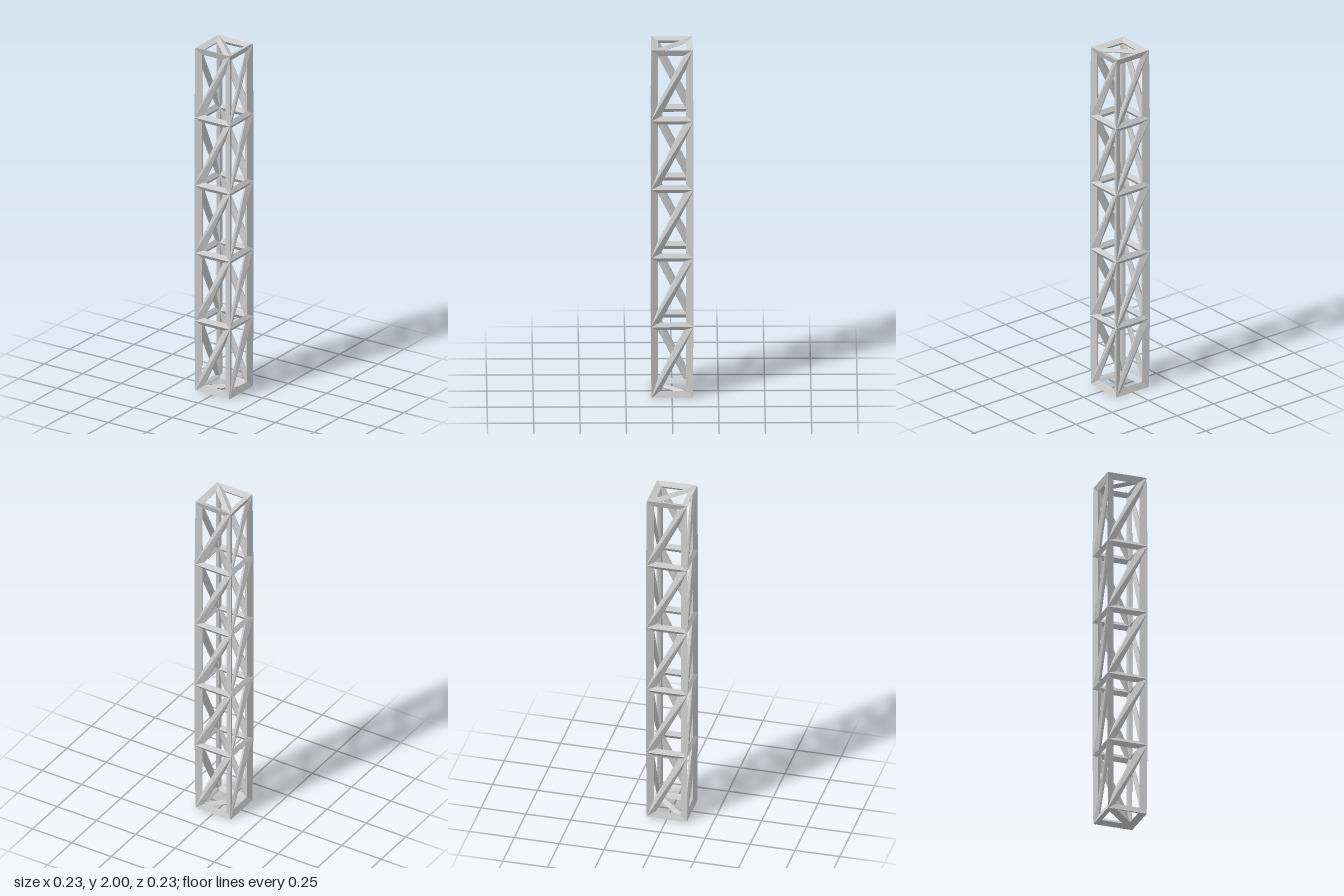
import * as THREE from 'three';

const BAYS = 5;
const H = 0.0228;                    // half thickness of every strut
const P = 0.0987;                    // half width of the tower's centre lines
const Y0 = H / Math.sqrt(3);         // lowest joint, so the tip rests on y = 0
const BAY = (2 - 2 * Y0) / BAYS;

// Corner joints, counter-clockwise seen from above, starting front left of the picture plane
const CORNERS = [[-1, 1], [1, 1], [1, -1], [-1, -1]];

// A joint of the lattice: its position and its outward direction
function joint(corner, level) {
  const [sx, sz] = CORNERS[corner % 4];
  const sy = level === 0 ? -1 : level === BAYS ? 1 : 0;
  return {
    pos: new THREE.Vector3(sx * P, Y0 + level * BAY, sz * P),
    out: new THREE.Vector3(sx, sy, sz).normalize(),
  };
}

// Sort each strut by its direction
function strutKind(a, b) {
  const d = b.pos.clone().sub(a.pos);
  const axes = [d.x, d.y, d.z].filter((v) => Math.abs(v) > 1e-6).length;
  if (axes > 1) return 'diagonalBraces';
  return Math.abs(d.y) > 1e-6 ? 'cornerPosts' : 'crossRails';
}

// Point moved into the triangle so that both its edges shrink by H
function insetPoint(prev, cur, next) {
  const u = prev.pos.clone().sub(cur.pos).normalize();
  const v = next.pos.clone().sub(cur.pos).normalize();
  const sine = Math.sin(u.angleTo(v));
  return cur.pos.clone().addScaledVector(u.add(v), H / sine);
}

export function createModel() {
  const parts = { cornerPosts: [], crossRails: [], diagonalBraces: [] };

  const quad = (list, a, b, c, d) => {
    for (const p of [a, b, c, a, c, d]) list.push(p.x, p.y, p.z);
  };

  // Each triangular opening adds its half of the three struts around it
  const opening = (...t) => {
    const inset = t.map((j, i) => insetPoint(t[(i + 2) % 3], j, t[(i + 1) % 3]));
    const outer = t.map((j) => j.pos.clone().addScaledVector(j.out, H));
    const inner = t.map((j) => j.pos.clone().addScaledVector(j.out, -H));
    for (let i = 0; i < 3; i++) {
      const k = (i + 1) % 3;
      const list = parts[strutKind(t[i], t[k])];
      quad(list, outer[i], outer[k], inset[k], inset[i]);
      quad(list, inner[k], inner[i], inset[i], inset[k]);
    }
  };

  // Four sides of every bay, braced from lower left to upper right
  for (let level = 0; level < BAYS; level++) {
    for (let side = 0; side < 4; side++) {
      const bl = joint(side, level), br = joint(side + 1, level);
      const tl = joint(side, level + 1), tr = joint(side + 1, level + 1);
      opening(bl, br, tr);
      opening(bl, tr, tl);
    }
  }

  // Top and bottom frames, with crossing braces
  const top = [0, 1, 2, 3].map((c) => joint(c, BAYS));
  opening(top[0], top[1], top[3]);
  opening(top[1], top[2], top[3]);
  const base = [0, 1, 2, 3].map((c) => joint(c, 0));
  opening(base[0], base[2], base[1]);
  opening(base[0], base[3], base[2]);

  const group = new THREE.Group();
  group.name = 'latticeTower';
  const material = new THREE.MeshStandardMaterial({ color: 0xcccccc, flatShading: true });
  for (const [name, list] of Object.entries(parts)) {
    const geometry = new THREE.BufferGeometry();
    geometry.setAttribute('position', new THREE.Float32BufferAttribute(list, 3));
    geometry.computeVertexNormals();
    const mesh = new THREE.Mesh(geometry, material);
    mesh.name = name;
    group.add(mesh);
  }
  return group;
}
